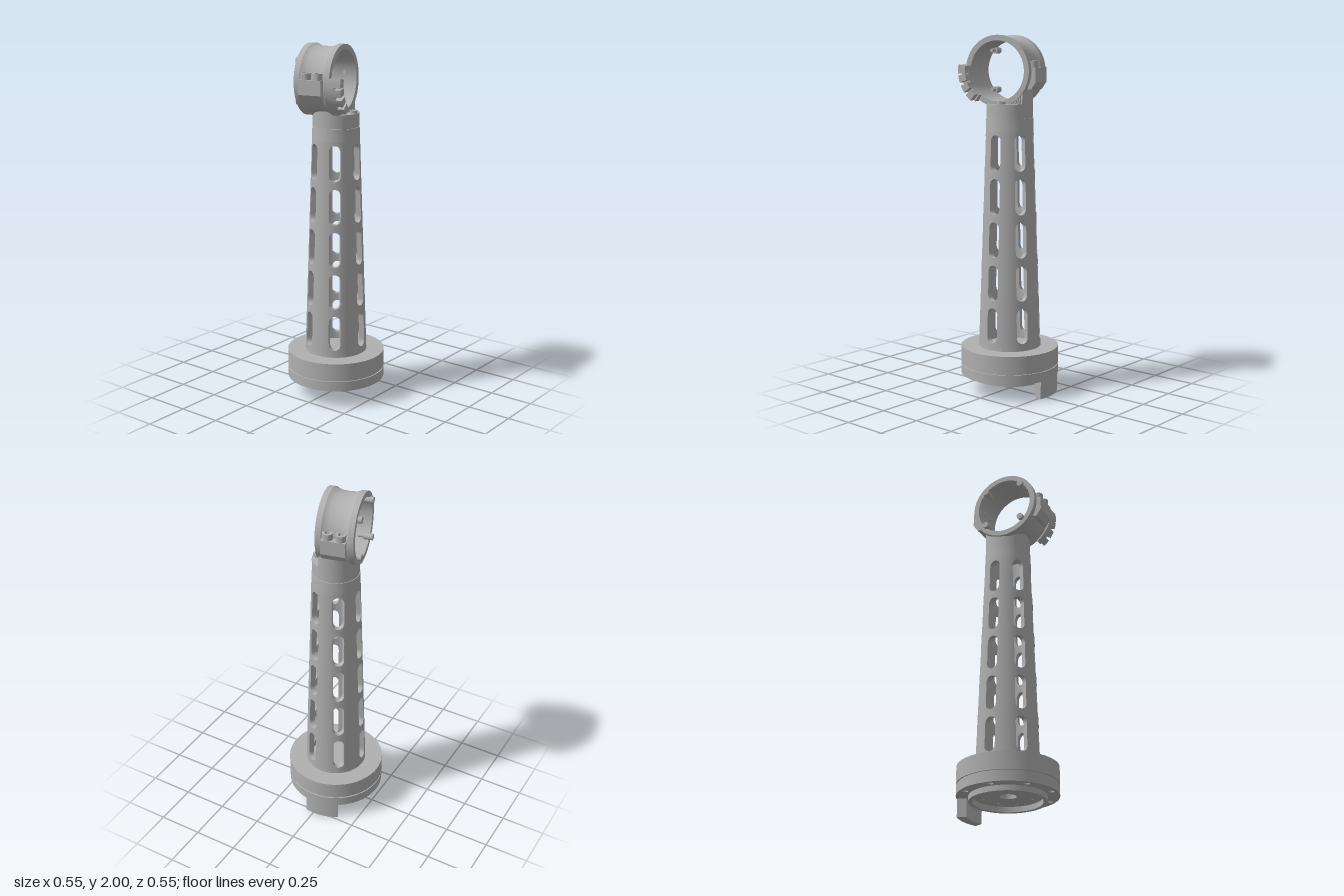
import * as THREE from 'three';
import { mergeGeometries, toCreasedNormals } from 'three/addons/utils/BufferGeometryUtils.js';

const grey = new THREE.MeshStandardMaterial({ color: 0xb0b0b0 });
grey.name = 'machined grey';

function part(parent, name, geometry, x = 0, y = 0, z = 0) {
  const mesh = new THREE.Mesh(geometry, grey);
  mesh.name = name;
  mesh.position.set(x, y, z);
  parent.add(mesh);
  return mesh;
}

// Turned part; the profile runs anticlockwise in (radius, height)
function turned(points, segments = 72) {
  const g = new THREE.LatheGeometry(points.map(p => new THREE.Vector2(...p)), segments);
  return toCreasedNormals(g, 0.5);
}

// Ring sector, extruded along z
function sector(r0, r1, a0, a1, depth) {
  const s = new THREE.Shape();
  s.absarc(0, 0, r1, a0, a1, false);
  s.absarc(0, 0, r0, a1, a0, true);
  const g = new THREE.ExtrudeGeometry(s, { depth, bevelEnabled: false, curveSegments: 16 });
  return toCreasedNormals(g, 0.5);
}

// Surface from a rule; optional rule for the normals
function surface(nu, nv, rule, normalRule, flip = false) {
  const pos = [], idx = [];
  for (let i = 0; i <= nu; i++) for (let j = 0; j <= nv; j++) pos.push(...rule(i, j));
  for (let i = 0; i < nu; i++) for (let j = 0; j < nv; j++) {
    const a = i * (nv + 1) + j, b = a + 1, c = a + nv + 1, d = c + 1;
    if (flip) idx.push(a, b, c, b, d, c);
    else idx.push(a, c, b, b, c, d);
  }
  const g = new THREE.BufferGeometry();
  g.setAttribute('position', new THREE.Float32BufferAttribute(pos, 3));
  g.setIndex(idx);
  g.computeVertexNormals();
  if (normalRule) {
    const p = g.attributes.position, n = g.attributes.normal;
    for (let k = 0; k < p.count; k++) n.setXYZ(k, ...normalRule(p.getX(k), p.getZ(k)));
  }
  return g;
}

const WALL = 0.03, PITCH = 0.24;
const towerRadius = y => 0.175 - (y - 0.26) * 0.035;

// One sixth of the tower wall, one slot high
function slotCell(angle, midY) {
  const R = 0.033, core = 0.066, side = 10, count = side * 4, loops = 6;
  const corners = [[-1, -1], [1, -1], [1, 1], [-1, 1], [-1, -1]];
  const at = (t, j, depth) => {
    const k = Math.min(3, Math.floor(j / side)), f = (j - k * side) / side;
    const u = THREE.MathUtils.lerp(corners[k][0], corners[k + 1][0], f);
    const v = THREE.MathUtils.lerp(corners[k][1], corners[k + 1][1], f) * PITCH / 2;
    const cy = THREE.MathUtils.clamp(v, -core, core);
    const px = u * 0.08, py = v - cy, len = Math.hypot(px, py);
    const slotY = cy + R * py / len;
    const slotA = R * px / len / towerRadius(midY + slotY);
    const y = midY + THREE.MathUtils.lerp(slotY, v, t);
    const a = angle + THREE.MathUtils.lerp(slotA, u * Math.PI / 6, t);
    const r = towerRadius(y) - depth;
    return [Math.sin(a) * r, y, Math.cos(a) * r];
  };
  const unit = s => (x, z) => [s * x / Math.hypot(x, z), 0, s * z / Math.hypot(x, z)];
  return [
    surface(loops, count, (i, j) => at(i / loops, j, 0), unit(1)),
    surface(loops, count, (i, j) => at(i / loops, j, WALL), unit(-1), true),
    surface(1, count, (i, j) => at(0, j, WALL * (1 - i)), null),
  ];
}

function buildBase(root) {
  const base = new THREE.Group();
  base.name = 'base';
  root.add(base);
  part(base, 'upperFlange', turned([[0, 0.162], [0.275, 0.162], [0.275, 0.26], [0, 0.26]], 96));
  part(base, 'flangeGap', turned([[0, 0.153], [0.268, 0.153], [0.268, 0.164], [0, 0.164]], 96));

  // Lower flange with bolt holes
  const disc = new THREE.Shape();
  disc.absarc(0, 0, 0.275, 0, Math.PI * 2);
  const hole = (r, x, y) => {
    const h = new THREE.Path();
    h.absarc(x, y, r, 0, Math.PI * 2, true);
    disc.holes.push(h);
  };
  hole(0.045, 0, 0);
  for (let i = 0; i < 8; i++) {
    const a = (i + 0.4) * Math.PI / 4;
    hole(0.016, Math.cos(a) * 0.242, Math.sin(a) * 0.242);
    hole(0.006, Math.cos(a) * 0.14, Math.sin(a) * 0.14);
  }
  const lower = new THREE.ExtrudeGeometry(disc, { depth: 0.055, bevelEnabled: false, curveSegments: 48 });
  lower.rotateX(-Math.PI / 2);
  part(base, 'lowerFlange', toCreasedNormals(lower, 0.5), 0, 0.1, 0);
  part(base, 'spigot', turned([[0.187, 0.07], [0.21, 0.07], [0.21, 0.105], [0.187, 0.105], [0.187, 0.07]]));

  // Curved locating tab under the back edge
  const mid = Math.PI / 2 + 0.192, half = 0.37;
  part(base, 'locatingTab', sector(0.22, 0.272, mid - half, mid + half, 0.102).rotateX(-Math.PI / 2));
}

function buildTower(root) {
  const tower = new THREE.Group();
  tower.name = 'tower';
  root.add(tower);
  const cells = [];
  for (let row = 0; row < 5; row++)
    for (let col = 0; col < 6; col++)
      cells.push(...slotCell((35 + col * 60) * Math.PI / 180, 0.4 + row * PITCH));
  part(tower, 'slottedWall', mergeGeometries(cells));
  for (const [name, y0, y1] of [['wallFoot', 0.255, 0.28], ['wallTop', 1.48, 1.548]]) {
    const a = towerRadius(y0), b = towerRadius(y1);
    part(tower, name, turned([[a - WALL, y0], [a, y0], [b, y1], [b - WALL, y1], [a - WALL, y0]]));
  }
}

const RING = new THREE.Vector3(-0.024, 1.805, 0.05), YAW = 13 * Math.PI / 180;

// Collar whose top rises to meet the underside of the clamp
function buildCollar(root) {
  const r = 0.128;
  const top = (x, z) => {
    const dx = x - RING.x, dz = z - RING.z;
    const lx = dx * Math.cos(YAW) - dz * Math.sin(YAW);
    const lz = dx * Math.sin(YAW) + dz * Math.cos(YAW);
    if (Math.abs(lx) > 0.095) return 1.625;
    return Math.min(1.71, RING.y - Math.sqrt(Math.max(0, 0.18 ** 2 - lz * lz)));
  };
  const n = 96, rim = (j, q) => [Math.sin(j / n * 2 * Math.PI) * q, Math.cos(j / n * 2 * Math.PI) * q];
  const wall = surface(1, n, (i, j) => {
    const [x, z] = rim(j, r);
    return [x, i ? top(x, z) : 1.553, z];
  }, (x, z) => [x / r, 0, z / r], true);
  const cap = surface(24, n, (i, j) => {
    const [x, z] = rim(j, r * i / 24);
    return [x, top(x, z), z];
  });
  const collar = new THREE.Group();
  collar.name = 'collar';
  root.add(collar);
  part(collar, 'collarWall', wall);
  part(collar, 'collarTop', toCreasedNormals(cap, 0.5));
  part(collar, 'collarFloor', turned([[0, 1.545], [0.126, 1.545], [0.126, 1.556], [0, 1.556]]));
  part(collar, 'collarScrew', screw(0.022, 0.02), 0.1, 1.62, -0.025);
}

// Socket head screw standing on its origin
const screw = (r, h) => turned(
  [[0, 0], [r, 0], [r, h], [r * 0.55, h], [r * 0.45, h * 0.5], [0, h * 0.5]], 24);

function buildClamp(root) {
  const clamp = new THREE.Group();
  clamp.name = 'clamp';
  clamp.position.copy(RING);
  clamp.rotation.y = YAW;
  root.add(clamp);

  // Ring with raised rims and a hollowed waist
  const ring = turned([[0.165, -0.103], [0.195, -0.103], [0.195, -0.072], [0.188, -0.06], [0.182, -0.04],
    [0.18, 0], [0.182, 0.04], [0.188, 0.06], [0.195, 0.072], [0.195, 0.103], [0.165, 0.103],
    [0.165, -0.103]], 96);
  part(clamp, 'clampRing', ring.rotateZ(-Math.PI / 2));

  for (const s of [1, -1]) {
    // Bolted lug on each side
    const lug = new THREE.Shape([[0.17, 0.02], [0.17, -0.1], [0.19, -0.1], [0.218, -0.06], [0.218, 0.02]]
      .map(p => new THREE.Vector2(...p)));
    const g = new THREE.ExtrudeGeometry(lug, { depth: 0.134, bevelEnabled: false });
    g.translate(0, 0, -0.067).rotateY(-s * Math.PI / 2);
    part(clamp, 'clampLug', g);
    for (const x of [-0.035, 0.035]) part(clamp, 'clampScrew', screw(0.028, 0.04), x, 0.015, s * 0.188);

    // Stop pegs along the bore
    for (const t of [1, -1]) {
      const peg = new THREE.CylinderGeometry(0.018, 0.018, 0.05, 20).rotateZ(Math.PI / 2);
      part(clamp, 'stopPeg', peg, -0.1, t * 0.11, s * 0.11);
      const pin = new THREE.CylinderGeometry(0.01, 0.01, 0.04, 16).rotateZ(Math.PI / 2);
      part(clamp, 'stopPin', pin, -0.06, t * 0.11, s * 0.11);
    }
  }

  // Toothed bracket on the right rim
  const bracket = (a0, a1, depth) => sector(0.162, 0.205, Math.PI + a0, Math.PI + a1, depth).rotateY(Math.PI / 2);
  part(clamp, 'bracketRoot', bracket(-0.17, 0.95, 0.04), 0.095);
  for (let i = 0; i < 4; i++)
    part(clamp, 'bracketTooth', bracket(-0.17 + i * 0.29, 0.08 + i * 0.29 - (i ? 0.05 : 0), 0.078), 0.095);
}

export function createModel() {
  const root = new THREE.Group();
  root.name = 'slottedTowerWithClamp';
  buildBase(root);
  buildTower(root);
  buildCollar(root);
  buildClamp(root);
  return root;
}
